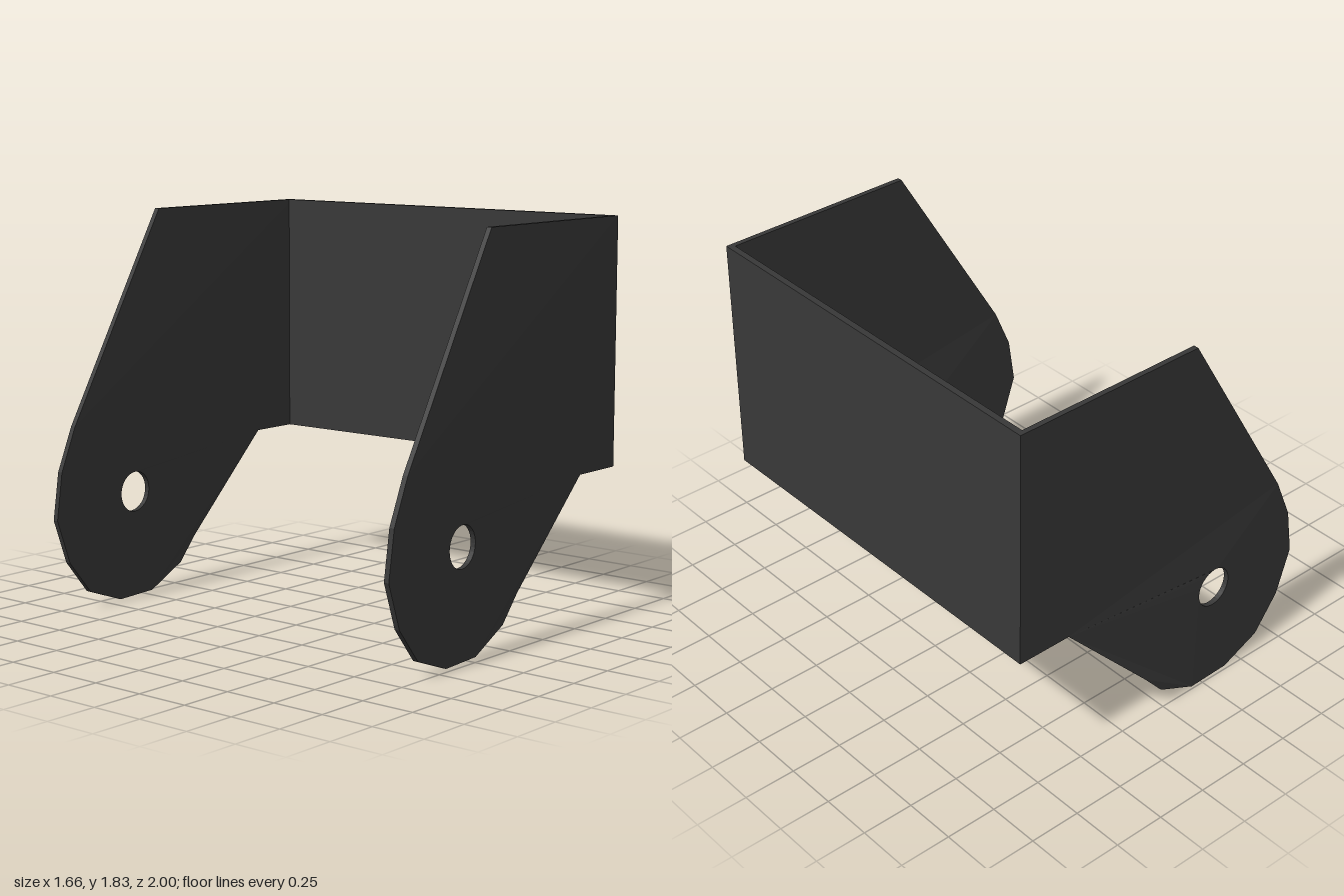
import * as THREE from 'three';

const THICK = 0.025;
const OUTER = 0.975; // outer z of the flat part of each side plate
const TOP = 1.835, WALL_BOTTOM = 0.695, RIGHT = 0.83;

const OUTLINE = [
  [-0.13, TOP], [-0.715, 0.87], [-0.8, 0.67], [-0.83, 0.45], [-0.75, 0.24],
  [-0.615, 0.08], [-0.41, 0.005], [-0.19, 0.01], [0.015, 0.11], [0.12, 0.23],
  [0.56, WALL_BOTTOM], [RIGHT, WALL_BOTTOM], [RIGHT, TOP],
];

// The rounded lug is slightly twisted out of the flat plate's plane.
function lugOffset(x, y) {
  const onLug = y < 0.65 || x < -0.5;
  return onLug ? -0.0247 - 0.0416 * x + 0.02 * y : 0;
}

// Side plate with a pivot hole, back face at zBack
function sidePlate(name, zBack, material) {
  const shape = new THREE.Shape(OUTLINE.map(([x, y]) => new THREE.Vector2(x, y)));
  const hole = new THREE.Path();
  hole.absarc(-0.31, 0.51, 0.095, 0, Math.PI * 2, true);
  shape.holes.push(hole);

  const geometry = new THREE.ExtrudeGeometry(shape, {
    depth: THICK, bevelEnabled: false, curveSegments: 16,
  });
  const p = geometry.attributes.position;
  for (let i = 0; i < p.count; i++) {
    p.setZ(i, p.getZ(i) + zBack + lugOffset(p.getX(i), p.getY(i)));
  }
  geometry.computeVertexNormals();
  const mesh = new THREE.Mesh(geometry, material);
  mesh.name = name;
  return mesh;
}

export function createModel() {
  const group = new THREE.Group();
  group.name = 'pivotBracket';
  const material = new THREE.MeshStandardMaterial({ color: 0x383838, flatShading: true });

  group.add(sidePlate('frontSidePlate', OUTER - THICK, material));
  group.add(sidePlate('backSidePlate', -OUTER, material));

  // Cross wall joining the two side plates
  const wall = new THREE.Mesh(
    new THREE.BoxGeometry(0.03, TOP - WALL_BOTTOM, 2 * (OUTER - THICK)), material);
  wall.position.set(RIGHT - 0.015, (TOP + WALL_BOTTOM) / 2, 0);
  wall.name = 'crossWall';
  group.add(wall);

  return group;
}
